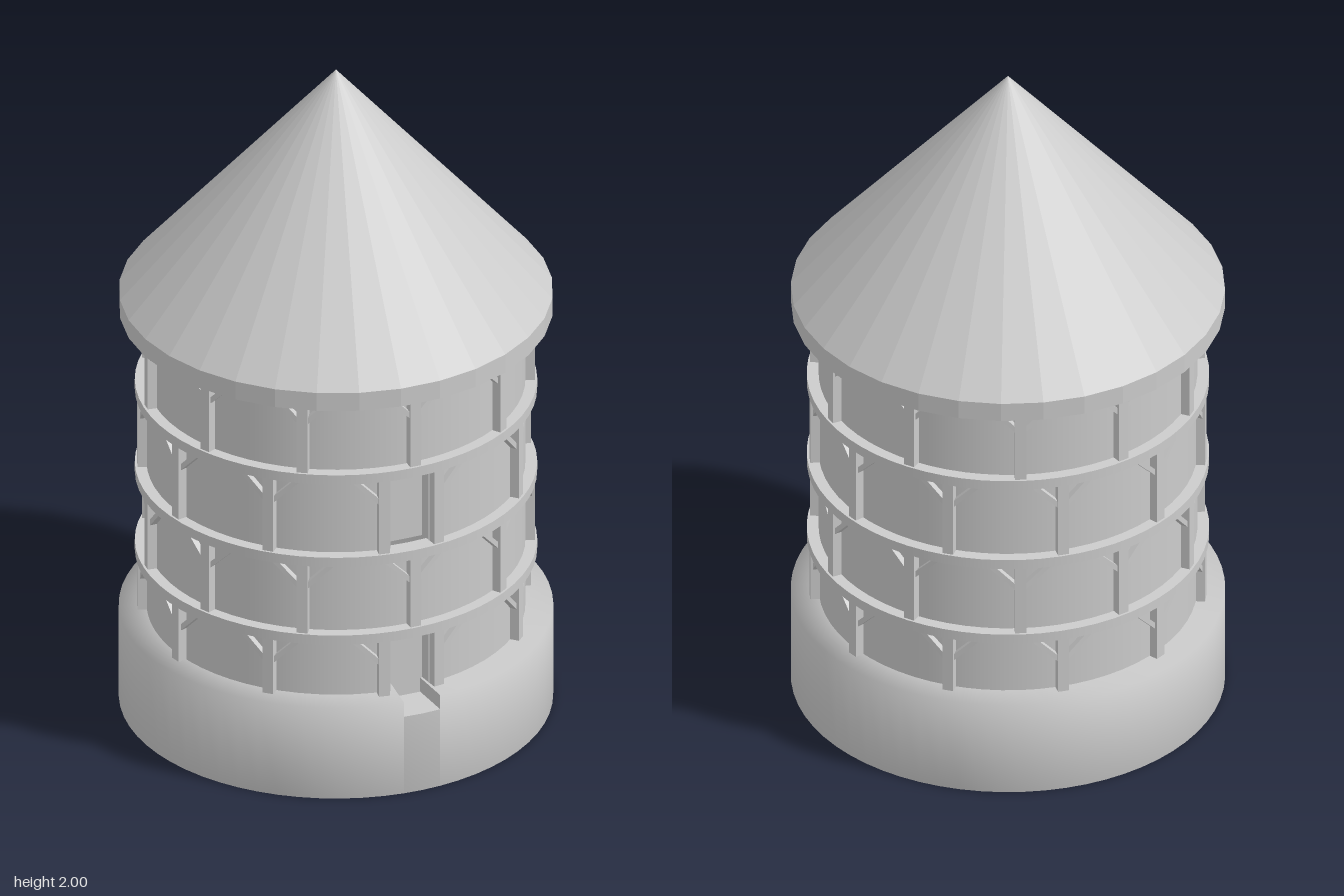
import * as THREE from 'three';

const RAD = Math.PI / 180;
const WALL = 0.532;
const FACE = 0.558;

export function createModel() {
  const tower = new THREE.Group();
  tower.name = 'tower';
  const smooth = new THREE.MeshStandardMaterial({ color: 0xcccccc, side: THREE.DoubleSide });
  const flat = new THREE.MeshStandardMaterial({ color: 0xcccccc, flatShading: true });

  const add = (name, geometry, material = flat, parent = tower) => {
    const mesh = new THREE.Mesh(geometry, material);
    mesh.name = name;
    parent.add(mesh);
    return mesh;
  };

  // Surface of revolution; angles in degrees, from the front (+z) toward +x
  const lathe = (points, from = 0, to = 360) => new THREE.LatheGeometry(
    points.map(([r, y]) => new THREE.Vector2(r, y)),
    Math.max(2, Math.round((to - from) / 5.625)), from * RAD, (to - from) * RAD);

  // Block in the tangent plane at an angle, spanning two radii
  const block = (name, angle, y, width, height, inner, outer, parent, tilt = 0) => {
    const geometry = new THREE.BoxGeometry(width, height, outer - inner);
    geometry.rotateZ(tilt);
    geometry.translate(0, y, (inner + outer) / 2);
    geometry.rotateY(angle * RAD);
    return add(name, geometry, flat, parent);
  };

  // Stone base with a notch for the doorway
  const notch = [-10.4, 0];
  const baseTop = 0.29, sill = 0.245;
  add('base', lathe([[0.56, 0], [0.61, 0], [0.61, baseTop], [0.48, baseTop]], notch[1], 360 + notch[0]), smooth);
  add('doorSill', lathe([[0.56, 0], [0.61, 0], [0.61, sill]], ...notch), smooth);
  add('doorStep', lathe([[0.61, sill], [0.46, sill]], ...notch), smooth);
  const floor = add('baseFloor', new THREE.CircleGeometry(0.562, 64), flat);
  floor.rotation.x = Math.PI / 2;
  for (const angle of notch) {
    const cheek = add('notchSide', new THREE.PlaneGeometry(0.13, baseTop - sill), smooth);
    const r = 0.545;
    cheek.position.set(r * Math.sin(angle * RAD), (baseTop + sill) / 2, r * Math.cos(angle * RAD));
    cheek.rotation.y = angle * RAD - Math.PI / 2;
  }

  // Post angles: rows with an opening at the front, and the staggered rows between
  const openRow = [2.6, 40, 74, 107.8, 141.7, 175.6, 209.5, 243.4, 277.4, 311.3, 345.5];
  const plainRow = [-5, 28.7, 62.3, 96, 129.5, 163, 195, 227, 258.5, 290, 321.5];
  const storeys = [
    { bottom: 0.285, top: 0.467, open: true, cutFrom: sill },
    { bottom: 0.495, top: 0.716, open: false },
    { bottom: 0.745, top: 0.98, open: true, cutFrom: 0.745 },
    { bottom: 1.008, top: 1.242, open: false },
  ];

  storeys.forEach(({ bottom, top, open, cutFrom }, i) => {
    const storey = new THREE.Group();
    storey.name = 'storey' + (i + 1);
    tower.add(storey);

    // Plaster wall, left open where the door or shutter sits
    const profile = [[WALL, bottom - 0.02], [WALL, top + 0.02]];
    add('wall', open ? lathe(profile, 0.5, 348) : lathe(profile), smooth, storey);
    if (open) {
      block(i === 0 ? 'door' : 'shutter', -5.8, (cutFrom + top) / 2, 0.13, top - cutFrom, 0.46, 0.49, storey);
    }

    // Upright posts with a diagonal brace on each side
    const angles = open ? openRow : plainRow;
    const height = top - bottom + 0.01;
    angles.forEach((angle, k) => {
      const jamb = open && (k === 0 || k === angles.length - 1);
      block('post', angle, (top + bottom) / 2, 0.032, height, jamb ? 0.47 : 0.515, FACE, storey);
      for (const side of [-1, 1]) {
        if (jamb && side === (k === 0 ? -1 : 1)) continue;
        const reach = 0.048 / FACE / RAD;
        block('brace', angle + side * reach, top - 0.037, 0.014, 0.112, 0.518, FACE - 0.008, storey, -side * Math.PI / 4);
      }
    });

    // Horizontal beam around the top of the storey
    if (i < 3) {
      const y0 = top, y1 = top + 0.03, inner = 0.515, outer = 0.565;
      const bands = [
        [[outer, y0], [outer, y1]],
        [[outer, y1], [inner, y1]],
        [[inner, y0], [outer, y0]],
      ];
      for (const band of bands) add('ringBeam', lathe(band), smooth, storey);
    }
  });

  // Conical roof with an upright rim
  const eaves = 1.297, rimBottom = 1.24;
  const cone = add('roof', new THREE.ConeGeometry(0.61, 2 - eaves, 32, 1, true));
  cone.position.y = (2 + eaves) / 2;
  const rim = add('roofRim', new THREE.CylinderGeometry(0.61, 0.61, eaves - rimBottom, 32));
  rim.position.y = (eaves + rimBottom) / 2;

  return tower;
}
